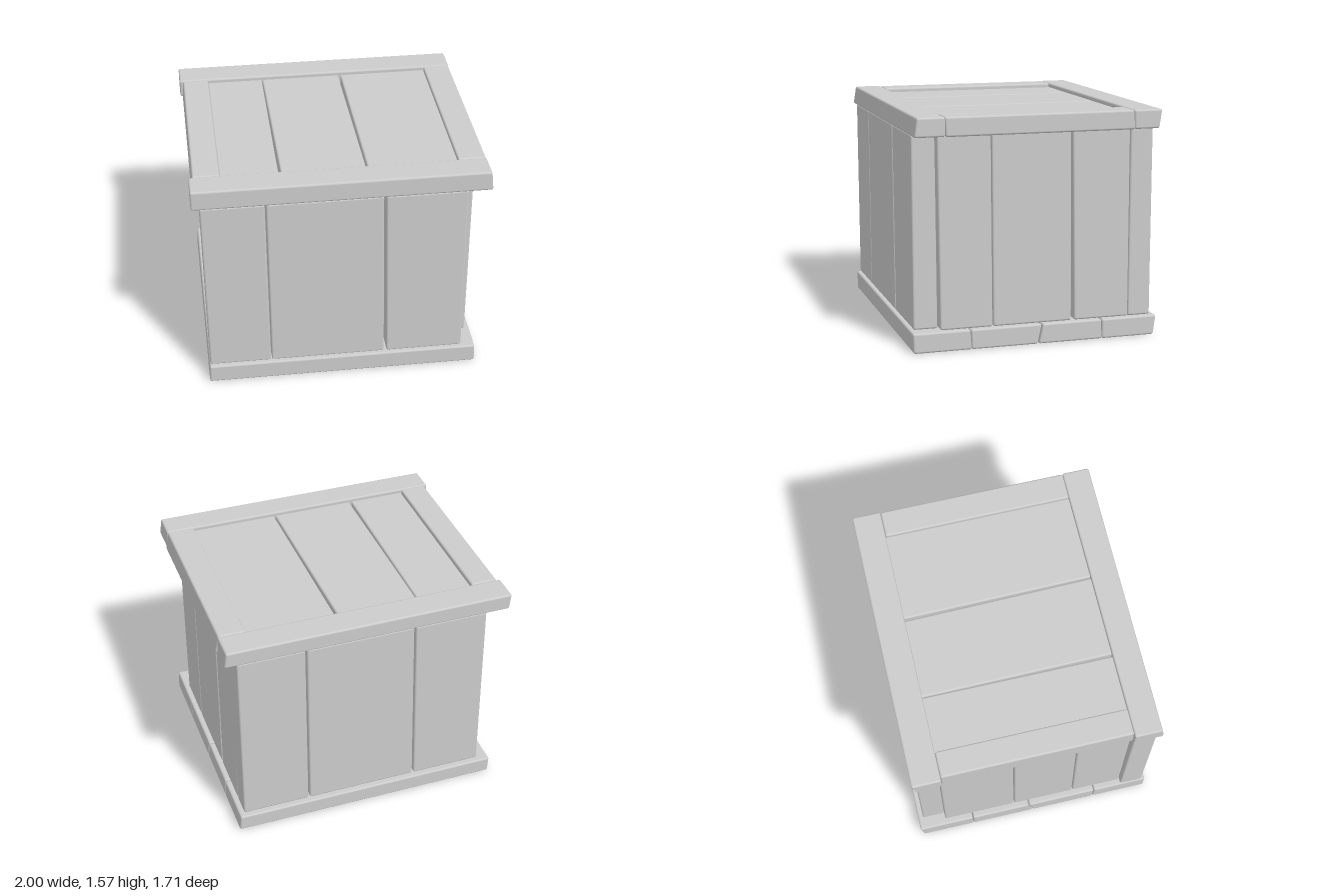
import * as THREE from 'three';
import { RoundedBoxGeometry } from 'three/addons/geometries/RoundedBoxGeometry.js';

const AXES = ['x', 'y', 'z'];
const material = new THREE.MeshStandardMaterial({ color: 0xcccccc });

// Rounded plank whose section changes from (min, max) to (min2, max2) along one axis.
function plank(name, min, max, along = 'y', min2 = min, max2 = max) {
  const size = max.map((v, i) => v - min[i]);
  const geo = new RoundedBoxGeometry(...size, 3, 0.014);
  const pos = geo.attributes.position;
  const a = AXES.indexOf(along);
  for (let i = 0; i < pos.count; i++) {
    const t = size.map((s, k) => pos.getComponent(i, k) / s + 0.5);
    for (let k = 0; k < 3; k++) {
      const lo = min[k] + (min2[k] - min[k]) * t[a];
      const hi = max[k] + (max2[k] - max[k]) * t[a];
      pos.setComponent(i, k, lo + (hi - lo) * t[k]);
    }
  }
  const mesh = new THREE.Mesh(geo, material);
  mesh.name = name;
  return mesh;
}

export function createModel() {
  const crate = new THREE.Group();
  crate.name = 'woodenCrate';
  const section = (name) => {
    const g = new THREE.Group();
    g.name = name;
    crate.add(g);
    return g;
  };
  const BASE = 0.135, RIM = 1.437, TOP = 1.565;

  // Floor boards: z edges at the bottom, then at the top
  const base = section('base');
  [[0.46, 0.857, 0.468, 0.86], [0.0, 0.46, -0.03, 0.465],
    [-0.46, -0.005, -0.455, -0.037], [-0.835, -0.46, -0.857, -0.46]].forEach(([a, b, c, d], i) =>
    base.add(plank('baseBoard' + (i + 1), [-0.94, 0, a], [0.94, BASE, b], 'y', [-0.935, 0, c], [0.935, BASE, d])));

  // Front and back walls: x edges at the bottom, then at the top
  const walls = section('walls');
  const frontEdges = [[-0.93, -0.505, -0.945, -0.52], [-0.5, 0.29, -0.513, 0.265], [0.308, 0.84, 0.28, 0.832]];
  const backEdges = [[-0.85, -0.36, -0.84, -0.33], [-0.35, 0.42, -0.32, 0.43], [0.43, 0.9, 0.44, 0.905]];
  frontEdges.forEach(([a, b, c, d], i) => walls.add(plank('frontPlank' + (i + 1),
    [a, BASE, 0.67], [b, RIM, 0.835], 'y', [c, BASE, 0.677], [d, RIM, 0.838])));
  backEdges.forEach(([a, b, c, d], i) => walls.add(plank('backPlank' + (i + 1),
    [a, BASE, -0.82], [b, RIM, -0.66], 'y', [c, BASE, -0.82], [d, RIM, -0.66])));

  // Side walls: z edges at the bottom, then at the top
  const leftEdges = [[0.305, 0.665, 0.315, 0.68], [-0.25, 0.3, -0.24, 0.31], [-0.66, -0.272, -0.66, -0.252]];
  const rightEdges = [[0.31, 0.668, 0.295, 0.675], [-0.135, 0.305, -0.145, 0.29], [-0.66, -0.14, -0.66, -0.15]];
  leftEdges.forEach(([a, b, c, d], i) => walls.add(plank('leftPlank' + (i + 1),
    [0.74, BASE, a], [0.9, RIM, b], 'y', [0.74, BASE, c], [0.895, RIM, d])));
  rightEdges.forEach(([a, b, c, d], i) => walls.add(plank('rightPlank' + (i + 1),
    [-0.895, BASE, a], [-0.74, RIM, b], 'y', [-0.9, BASE, c], [-0.74, RIM, d])));

  // Lid boards: x edges at the back, then at the front
  const lid = section('lid');
  [[-0.8, -0.403, -0.8, -0.407], [-0.4, 0.158, -0.392, 0.177], [0.174, 0.8, 0.186, 0.8]].forEach(([a, b, c, d], i) =>
    lid.add(plank('lidBoard' + (i + 1), [a, 1.42, -0.67], [b, 1.535, 0.66], 'z', [c, 1.42, -0.67], [d, 1.535, 0.66])));

  // Rim bars around the lid
  const rim = section('rim');
  rim.add(plank('frontRim', [-1, RIM, 0.645], [0.99, TOP, 0.852], 'y', [-1, RIM, 0.645], [0.98, TOP, 0.832]));
  rim.add(plank('backRim', [-1, RIM, -0.832], [0.99, TOP, -0.655], 'y', [-1, RIM, -0.855], [0.98, TOP, -0.655]));
  rim.add(plank('leftRim', [0.79, RIM, -0.655], [1, TOP - 0.004, 0.645], 'y', [0.79, RIM, -0.655], [0.975, TOP, 0.645]));
  rim.add(plank('rightRim', [-0.985, RIM, -0.655], [-0.795, TOP - 0.004, 0.645], 'y', [-0.975, RIM, -0.655], [-0.795, TOP, 0.645]));

  return crate;
}
